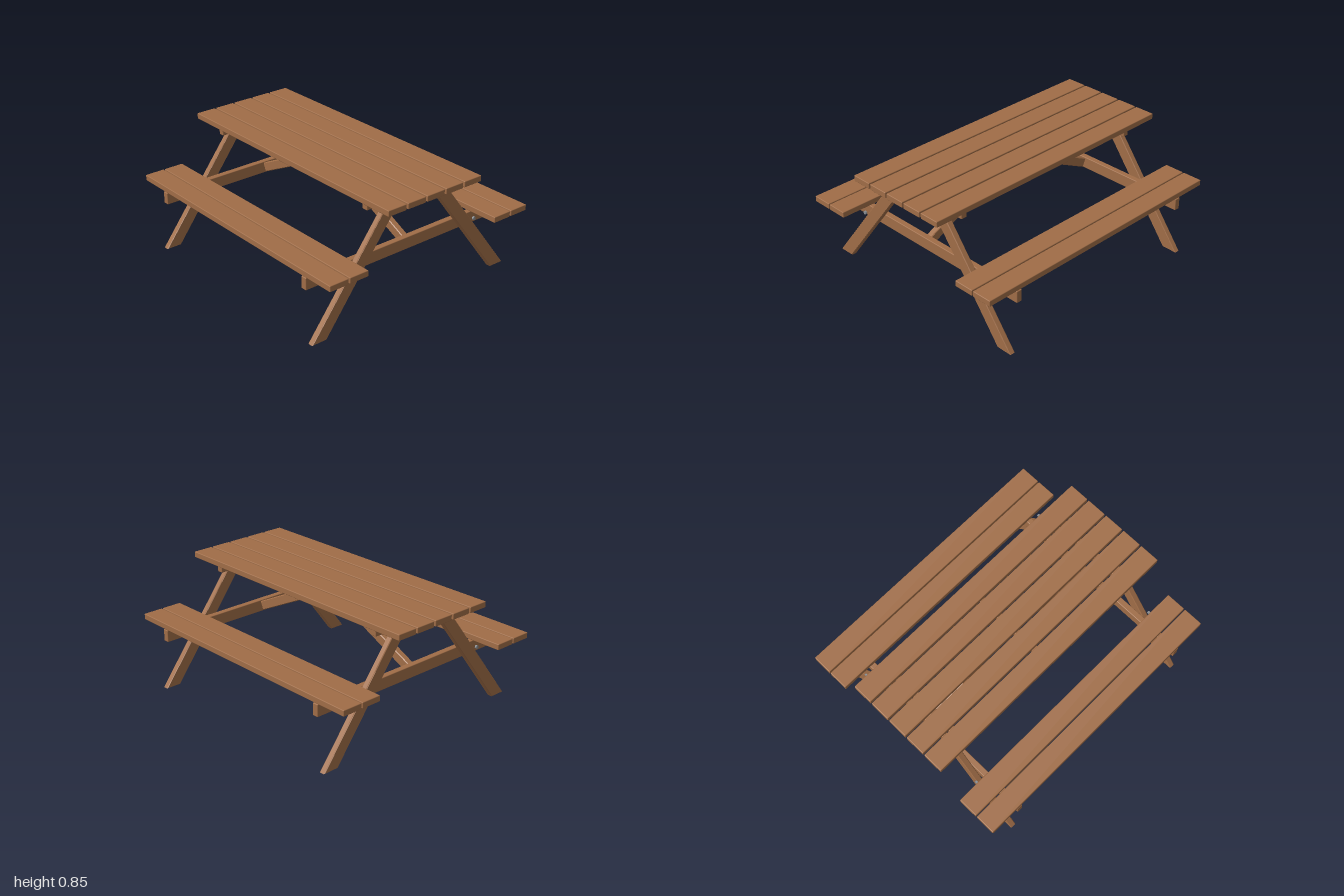
import * as THREE from 'three';
import { RoundedBoxGeometry } from 'three/addons/geometries/RoundedBoxGeometry.js';

const wood = new THREE.MeshStandardMaterial({ color: 0xa06d47 });
wood.name = 'stained wood';
const steel = new THREE.MeshStandardMaterial({ color: 0x8a8f94 });
steel.name = 'bolt steel';

const BEVEL = 0.005;

export function createModel() {
  const model = new THREE.Group();
  model.name = 'picnicTable';

  function add(name, geometry, x, y, z, material = wood) {
    const mesh = new THREE.Mesh(geometry, material);
    mesh.name = name;
    mesh.position.set(x, y, z);
    model.add(mesh);
    return mesh;
  }

  // Straight timber with softened edges
  function timber(name, w, h, d, x, y, z) {
    return add(name, new RoundedBoxGeometry(w, h, d, 2, BEVEL), x, y, z);
  }

  // Timber cut to an outline, centred on its thickness
  function cutTimber(points, thickness) {
    const shape = new THREE.Shape(points.map(([x, y]) => new THREE.Vector2(x, y)));
    const geometry = new THREE.ExtrudeGeometry(shape, {
      depth: thickness - 2 * BEVEL,
      bevelEnabled: true,
      bevelThickness: BEVEL,
      bevelSize: BEVEL,
      bevelOffset: -BEVEL,
      bevelSegments: 1,
    });
    return geometry.translate(0, 0, BEVEL - thickness / 2);
  }

  // Table top: five boards
  for (let i = -2; i <= 2; i++) {
    timber('topBoard', 2, 0.042, 0.147, 0, 0.824, i * 0.159);
  }

  // Benches: two boards on each side
  for (const side of [-1, 1]) {
    for (const z of [0.614, 0.768]) {
      timber('seatBoard', 2, 0.042, 0.145, 0, 0.479, side * z);
    }
  }

  // Cleat under the middle of the top
  timber('centreCleat', 0.043, 0.052, 0.5, 0, 0.777, 0);

  // End frames: cleat, seat bearer, two splayed legs, a brace and bolts
  for (const end of [-1, 1]) {
    timber('endCleat', 0.043, 0.053, 0.726, end * 0.754, 0.777, 0);
    timber('seatBearer', 0.043, 0.085, 1.684, end * 0.754, 0.413, 0);

    for (const side of [-1, 1]) {
      // The outline is drawn in x and turned to run along z
      const outline = [[0.722, 0], [0.835, 0], [0.257, 0.755], [0.148, 0.755]];
      const leg = cutTimber(outline.map(([x, y]) => [-side * x, y]), 0.042);
      leg.rotateY(Math.PI / 2);
      add('leg', leg, end * 0.805, 0, 0);

      for (const [y, z] of [[0.782, 0.246], [0.435, 0.524]]) {
        const bolt = new THREE.CylinderGeometry(0.012, 0.012, 0.013, 16);
        bolt.rotateZ(Math.PI / 2);
        add('boltHead', bolt, end * 0.8325, y, side * z, steel);
      }
    }

    // Diagonal brace from the seat bearer up to the centre cleat
    const brace = [[0, 0.728], [0.71, 0.386], [0.738, 0.445], [0.008, 0.802], [0, 0.802]];
    add('brace', cutTimber(brace.map(([x, y]) => [end * x, y]), 0.046), 0, 0, 0);
  }

  return model;
}
